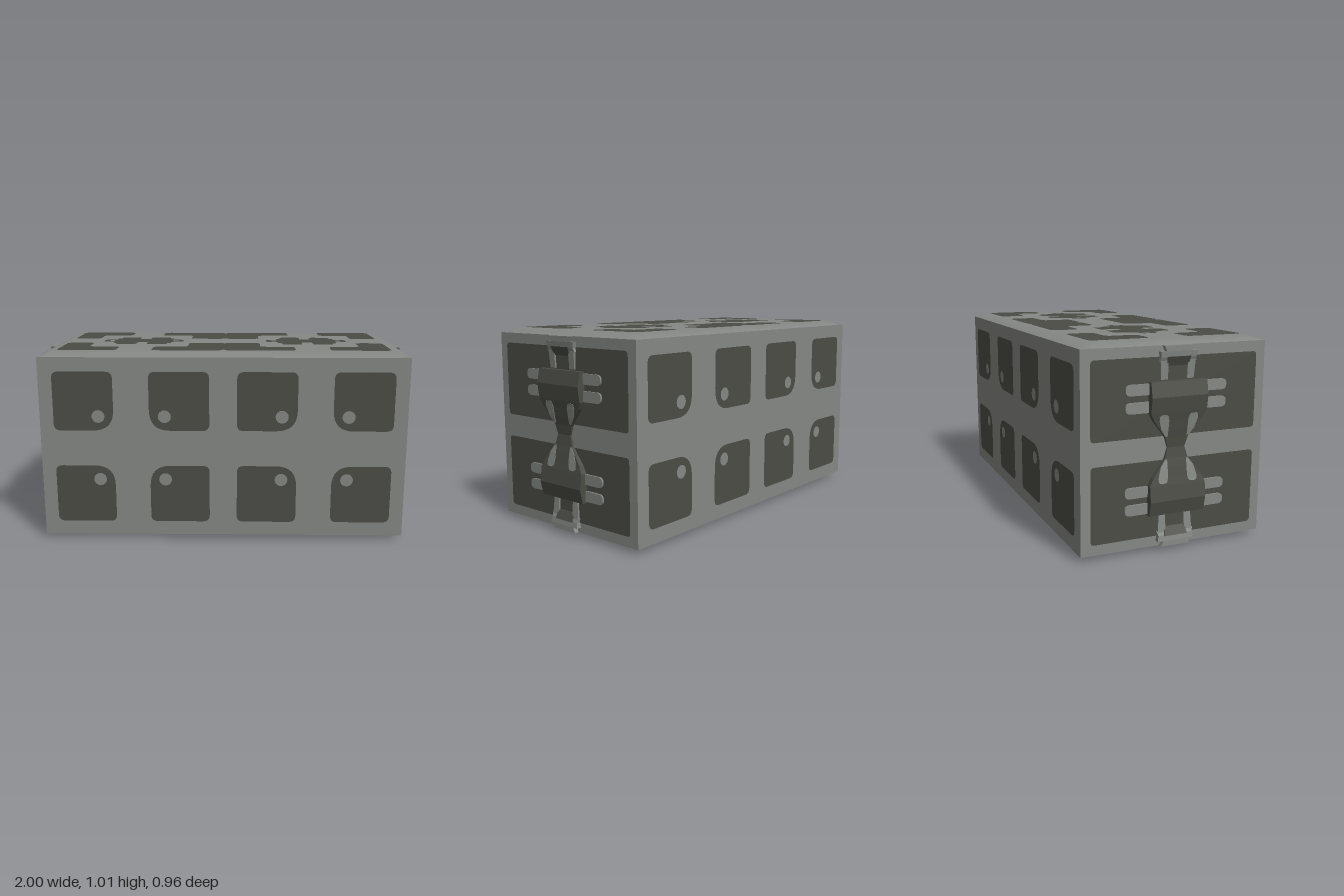
import * as THREE from 'three';

const light = new THREE.MeshStandardMaterial({ color: 0x858884 });
light.name = 'light grey';
const dark = new THREE.MeshStandardMaterial({ color: 0x4c4c46 });
dark.name = 'dark grey';

const X = 0.955, Z = 0.478, C = 0.503, EDGE = 0.479; // body half sizes, centre height, half height at the rim

function add(parent, name, geometry, material) {
  const mesh = new THREE.Mesh(geometry, material);
  mesh.name = name;
  parent.add(mesh);
  return mesh;
}

// Closed outline with rounded corners; a point may carry its own radius
function rounded(points, radius, holes = []) {
  const shape = new THREE.Shape();
  const n = points.length;
  const toward = (p, q, r) => {
    const d = Math.hypot(q[0] - p[0], q[1] - p[1]);
    const t = Math.min(r, d / 2) / d;
    return [p[0] + (q[0] - p[0]) * t, p[1] + (q[1] - p[1]) * t];
  };
  points.forEach((p, i) => {
    const r = p[2] ?? radius;
    const a = toward(p, points[(i + n - 1) % n], r), b = toward(p, points[(i + 1) % n], r);
    if (i === 0) shape.moveTo(...a); else shape.lineTo(...a);
    shape.quadraticCurveTo(p[0], p[1], ...b);
  });
  shape.closePath();
  for (const [x, y, r] of holes) shape.holes.push(new THREE.Path().absarc(x, y, r, 0, Math.PI * 2, true));
  return shape;
}
const rect = (x0, x1, y0, y1) => [[x0, y0], [x1, y0], [x1, y1], [x0, y1]];
const flat = shape => new THREE.ShapeGeometry(shape, 8);

// Lofted relief on the +x end; rows are [y, z0, z1, x]
function relief(rows) {
  const pos = [], idx = [], base = 0.95;
  for (const [y, z0, z1, x] of rows) pos.push(base, y, z0, x, y, z0, x, y, z1, base, y, z1);
  for (let i = 0; i < rows.length - 1; i++) {
    for (let j = 0; j < 3; j++) {
      const a = i * 4 + j, d = a + 4;
      idx.push(a, d, d + 1, a, d + 1, a + 1);
    }
  }
  const t = (rows.length - 1) * 4;
  idx.push(t, t + 2, t + 1, t, t + 3, t + 2, 0, 1, 2, 0, 2, 3);
  const indexed = new THREE.BufferGeometry();
  indexed.setAttribute('position', new THREE.Float32BufferAttribute(pos, 3));
  indexed.setIndex(idx);
  const g = indexed.toNonIndexed();
  g.computeVertexNormals();
  return g;
}

// Slightly raised lid with sloping rim
function lidGeometry() {
  const g = new THREE.PlaneGeometry(2, 2, 3, 3);
  const p = g.attributes.position;
  for (let i = 0; i < p.count; i++) {
    const x = p.getX(i), y = p.getY(i);
    const inner = Math.abs(x) < 0.9 && Math.abs(y) < 0.9;
    p.setXYZ(i, Math.sign(x) * (Math.abs(x) < 0.9 ? 0.89 : X), Math.sign(y) * (Math.abs(y) < 0.9 ? 0.405 : Z), inner ? C : EDGE);
  }
  g.computeVertexNormals();
  return g;
}

// Long side: eight panels, each with a round spot cut out
function longSide() {
  const g = new THREE.Group();
  for (const sx of [-1, 1]) for (const sy of [-1, 1]) {
    for (const [x0, x1, spot, bigAtInner] of [[0.57, 0.883, 0.65, true], [0.072, 0.385, 0.305, false]]) {
      const pts = rect(x0, x1, 0.095, 0.405);
      pts[bigAtInner ? 0 : 1].push(0.11);
      const shape = rounded(pts.map(([x, y, r]) => [x * sx, y * sy, r]), 0.035, [[spot * sx, 0.17 * sy, 0.034]]);
      add(g, 'sidePanel', flat(shape), dark).position.z = Z + 0.002;
    }
  }
  return g;
}

// Lid and base pattern
function lidSide() {
  const g = new THREE.Group();
  add(g, 'lid', lidGeometry(), light);
  const put = (name, pts, r, holes) => { add(g, name, flat(rounded(pts, r, holes)), dark).position.z = C + 0.002; };
  const corner = [[0.56, 0.4], [0.872, 0.4], [0.872, 0.095], [0.725, 0.095], [0.725, 0.253], [0.56, 0.253]];
  const half = [[0.02, 0.4, 0.01], [0.377, 0.4], [0.377, 0.253], [0.195, 0.253], [0.195, 0.095], [0.02, 0.095, 0.01]];
  const centre = [[0, 0.365, 0.005], ...half, [0, 0.115, 0.005], ...half.map(([x, y, r]) => [-x, y, r]).reverse()];
  // One quarter of the gear-like patch, going from the slot to the arm tip
  const q = [[0.03, 0.065], [0.03, 0.155], [0.14, 0.155], [0.14, 0.1], [0.162, 0.1], [0.162, 0.045], [0.225, 0.045]];
  const flip = (sx, sy) => q.map(([x, y]) => [x * sx, y * sy]);
  const gear = [...flip(1, 1), ...flip(1, -1).reverse(), ...flip(-1, -1), ...flip(-1, 1).reverse()];
  for (const s of [-1, 1]) {
    put('centrePatch', centre.map(([x, y, r]) => [x, y * s, r]), 0.035);
    put('gearPatch', gear.map(([x, y]) => [x + 0.46 * s, y]), 0.022, [[0.46 * s + 0.182, 0, 0.018], [0.46 * s - 0.182, 0, 0.018]]);
    for (const t of [-1, 1]) put('cornerPatch', corner.map(([x, y]) => [x * s, y * t]), 0.035);
  }
  return g;
}

// Upper half of the latch on the +x end, measured from mid height
function latchHalf() {
  const g = new THREE.Group();
  const panel = add(g, 'endPanel', flat(rounded(rect(-0.43, 0.43, 0.057, 0.428), 0.02)), dark);
  panel.rotation.y = Math.PI / 2;
  panel.position.x = X + 0.002;

  const rows = [[0, 0.045, 0.962], [0.05, 0.06, 0.968], [0.09, 0.09, 0.976], [0.135, 0.125, 0.983],
    [0.172, 0.145, 0.99], [0.247, 0.145, 1.0], [0.317, 0.145, 0.985]];
  add(g, 'latchPlate', relief(rows.map(([y, w, x]) => [y, -w, w, x])), dark);

  for (const s of [-1, 1]) {
    const side = (name, list, material) =>
      add(g, name, relief(list.map(([y, a, b, x]) => (s > 0 ? [y, a, b, x] : [y, -b, -a, x]))), material);
    side('latchInset', [[0.055, 0.05, 0.06, 0.972], [0.09, 0.05, 0.086, 0.979], [0.135, 0.05, 0.1, 0.986],
      [0.155, 0.055, 0.1, 0.989], [0.163, 0.065, 0.092, 0.991]], light);
    side('clipLeg', [[0.322, 0.05, 0.085, 0.963], [0.41, 0.05, 0.09, 0.97]], light);
    for (const y of [0.2, 0.283]) {
      const outline = rounded([[0.13, y - 0.026, 0], [0.262, y - 0.026], [0.262, y + 0.026], [0.13, y + 0.026, 0]]
        .map(([z, v, r]) => [-z * s, v, r]), 0.026);
      const finger = add(g, 'finger', new THREE.ExtrudeGeometry(outline, { depth: 0.016, bevelEnabled: false, curveSegments: 6 }), light);
      finger.rotation.y = Math.PI / 2;
      finger.position.x = 0.95;
    }
  }

  // Clip near the rim
  add(g, 'clipBar', relief([[0.405, -0.095, 0.095, 0.968], [0.425, -0.09, 0.09, 0.976], [0.453, -0.095, 0.095, 0.98]]), light);
  add(g, 'clipCap', relief([[0.445, -0.06, 0.06, 0.978], [EDGE, -0.077, 0.077, 0.979]]), light);
  add(g, 'clipCore', relief([[0.385, -0.055, 0.055, 0.964], [0.428, -0.06, 0.06, 0.982]]), dark);
  return g;
}

export function createModel() {
  const model = new THREE.Group();
  model.name = 'crate';
  const place = (name, group, rx, ry, y = C) => {
    group.name = name;
    group.rotation.set(rx, ry, 0);
    group.position.y = y;
    model.add(group);
  };

  add(model, 'body', new THREE.BoxGeometry(X * 2, EDGE * 2, Z * 2), light).position.y = C;
  place('frontPanels', longSide(), 0, 0);
  place('backPanels', longSide(), 0, Math.PI);
  place('topSide', lidSide(), -Math.PI / 2, 0);
  place('bottomSide', lidSide(), Math.PI / 2, 0);

  for (const [name, ry] of [['leftEnd', 0], ['rightEnd', Math.PI]]) {
    const end = new THREE.Group();
    const upper = latchHalf(), lower = latchHalf();
    upper.name = 'upperLatch';
    lower.name = 'lowerLatch';
    lower.rotation.x = Math.PI;
    end.add(upper, lower);
    place(name, end, 0, ry);
  }
  return model;
}
